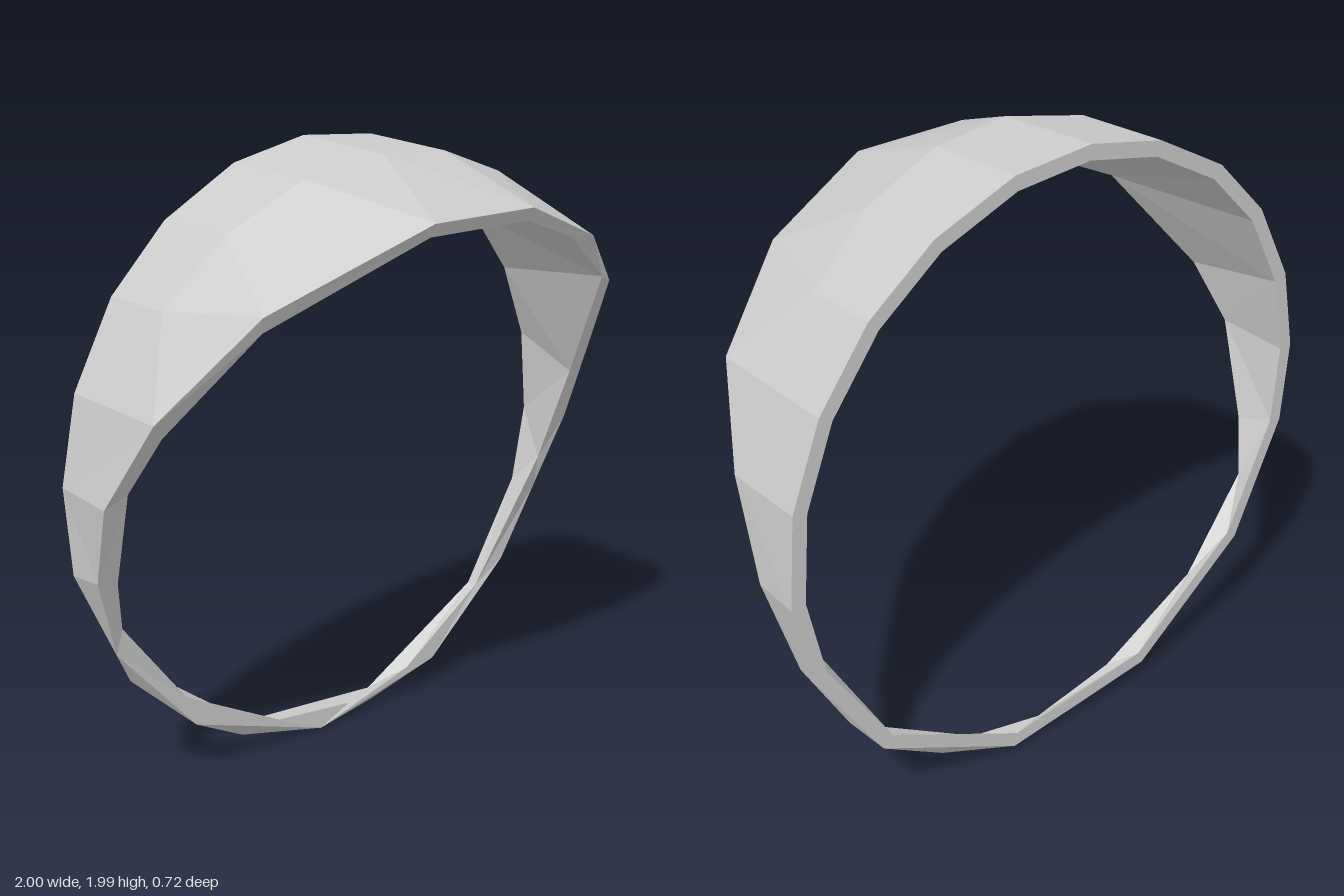
import * as THREE from 'three';

// A loop is a list of [degrees, radius, z] stations around the band axis at y = 1.
const makeLoop = (stations) => stations
  .map(([deg, r, z]) => {
    const angle = (deg + 360) % 360;
    const t = THREE.MathUtils.degToRad(angle);
    return { angle, p: new THREE.Vector3(r * Math.cos(t), 1 + r * Math.sin(t), z) };
  })
  .sort((a, b) => a.angle - b.angle);

// Stitch two closed loops with different station counts, always advancing the one that lags.
function stitch(a, b, out) {
  const at = (loop, i) => loop[i % loop.length].p;
  const angleAt = (loop, i) => loop[i % loop.length].angle + 360 * Math.floor(i / loop.length);
  const add = (p, q, r) => {
    const area = q.clone().sub(p).cross(r.clone().sub(p)).length();
    if (area > 1e-7) for (const v of [p, q, r]) out.push(v.x, v.y, v.z);
  };
  let i = 0, j = 0;
  while (i < a.length || j < b.length) {
    const stepA = j >= b.length || (i < a.length && angleAt(a, i + 1) <= angleAt(b, j + 1));
    if (stepA) {
      add(at(a, i), at(b, j), at(a, i + 1));
      i++;
    } else {
      add(at(a, i), at(b, j), at(b, j + 1));
      j++;
    }
  }
}

export function createModel() {
  const group = new THREE.Group();
  group.name = 'slantedBand';

  const BACK = -0.36;
  const backAngles = [94, 78, 61, 45, 29, 13, -4, -20, -45, -79, -112, -143, -168, 176, 160, 143, 127, 110];
  const backOuter = backAngles.map((d) => [d, 1, BACK]);
  const backInner = backAngles.map((d) => [d, 0.952, BACK]);

  // Front outer edge: high brow, and the narrow strip around the lower half
  const brow = [[50, 0.9, 0.26], [76.4, 0.855, 0.355], [103.5, 0.855, 0.355], [138.5, 0.935, 0.21]];
  const strip = [
    [161, 0.984, 0.01], [177, 1, -0.15], [-168, 0.99, -0.25], [-151, 0.994, -0.32],
    [-126, 0.996, -0.32], [-94, 0.993, -0.32], [-63, 1, -0.32], [-37, 0.99, -0.31],
    [-20, 0.995, -0.29], [-4, 0.993, -0.2], [12.8, 0.995, -0.08], [29, 0.99, 0.09],
  ];
  // Ridge where the brow starts to bend inwards
  const ridge = [
    [45, 0.99, -0.11], [61, 0.99, -0.06], [78, 0.98, -0.02], [94, 0.978, 0],
    [110, 0.985, -0.04], [127, 0.99, -0.08], [143, 0.995, -0.12],
  ];
  // Front inner edge
  const frontInner = [
    [75.8, 0.815, 0.335], [56.7, 0.838, 0.275], [34.7, 0.913, 0.155], [7.4, 0.928, -0.12],
    [-14, 0.948, -0.26], [-45, 0.948, -0.32], [-69.7, 0.949, -0.32], [-86, 0.947, -0.33],
    [-105.5, 0.934, -0.32], [-131.5, 0.935, -0.32], [-155, 0.94, -0.31], [-166, 0.927, -0.25],
    [174.5, 0.934, -0.13], [163, 0.93, -0.01], [140.4, 0.895, 0.19], [104.2, 0.815, 0.335],
  ];

  // Skin the closed cross-section: outside, front rim, inside, back rim
  const loops = [backOuter, [...ridge, ...strip], [...brow, ...strip], frontInner, backInner].map(makeLoop);
  const positions = [];
  loops.forEach((loop, k) => stitch(loops[(k + 1) % loops.length], loop, positions));

  const geometry = new THREE.BufferGeometry();
  geometry.setAttribute('position', new THREE.Float32BufferAttribute(positions, 3));
  geometry.computeVertexNormals();
  const material = new THREE.MeshStandardMaterial({ color: 0xcccccc, flatShading: true });
  const band = new THREE.Mesh(geometry, material);
  band.name = 'band';
  group.add(band);
  return group;
}
